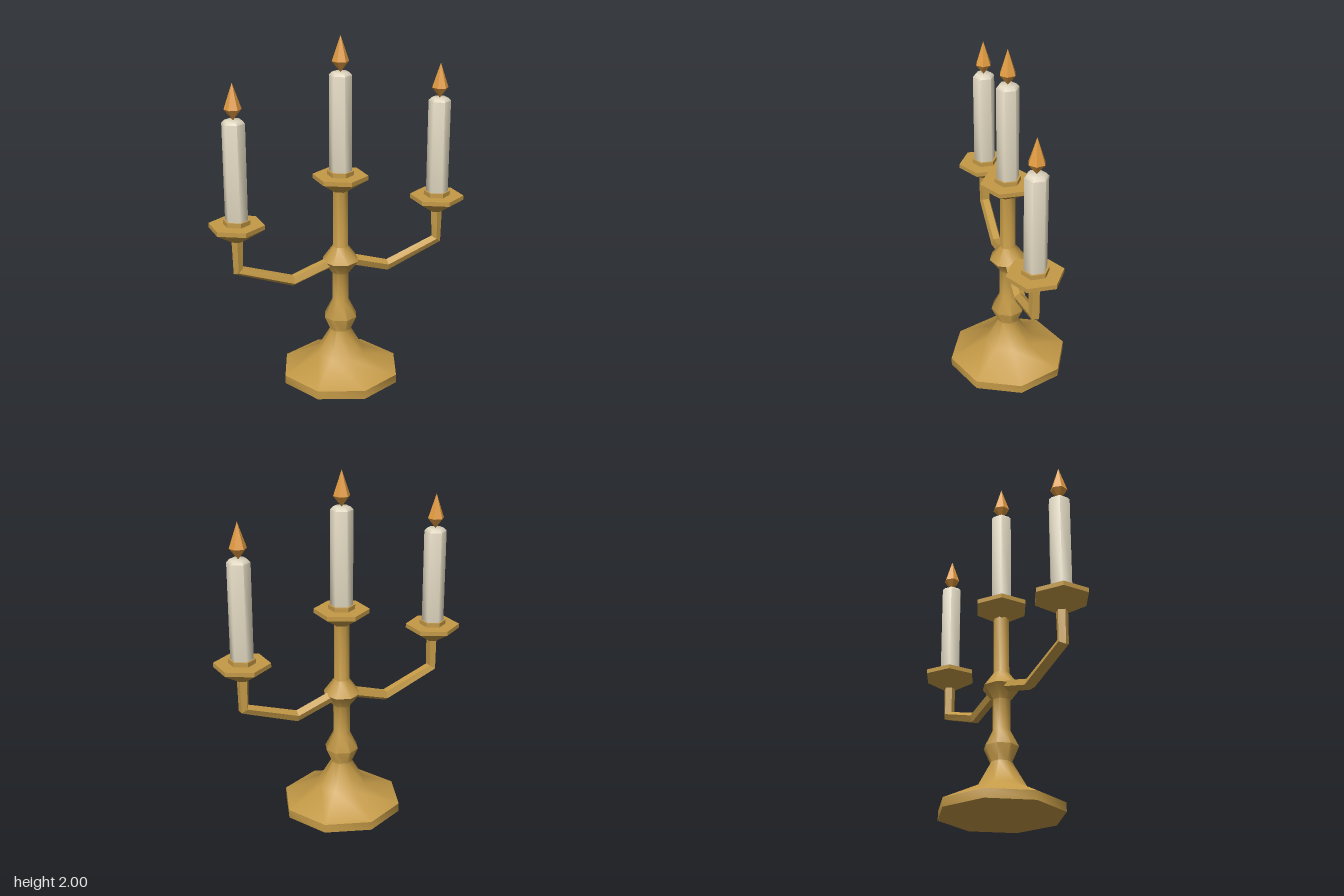
import * as THREE from 'three';
import { toCreasedNormals } from 'three/addons/utils/BufferGeometryUtils.js';

const mat = (name, color, opts = {}) => new THREE.MeshStandardMaterial({ name, color, ...opts });

// Turned part: profile of [radius, height] from bottom to top
function turned(name, profile, sides, material, crease) {
  const lathe = new THREE.LatheGeometry(profile.map(([r, y]) => new THREE.Vector2(r, y)), sides);
  const mesh = new THREE.Mesh(toCreasedNormals(lathe, crease), material);
  mesh.name = name;
  return mesh;
}

// Five-sided bar swept along a bent path in the xy plane
function sweptBar(path, radius, sides = 5) {
  const rings = path.map((p, i) => {
    const before = path[Math.max(i - 1, 0)], after = path[Math.min(i + 1, path.length - 1)];
    const t = new THREE.Vector2();
    if (i > 0) t.add(p.clone().sub(before).normalize());
    if (i < path.length - 1) t.add(after.clone().sub(p).normalize());
    t.normalize();
    return Array.from({ length: sides }, (_, k) => {
      const a = (k / sides) * Math.PI * 2, c = Math.cos(a) * radius;
      return [p.x - t.y * c, p.y + t.x * c, Math.sin(a) * radius];
    });
  });
  const pos = [];
  for (let i = 0; i < rings.length - 1; i++) {
    for (let k = 0; k < sides; k++) {
      const n = (k + 1) % sides;
      const a = rings[i][k], b = rings[i][n], c = rings[i + 1][k], d = rings[i + 1][n];
      pos.push(...a, ...b, ...c, ...b, ...d, ...c);
    }
  }
  const geo = new THREE.BufferGeometry();
  geo.setAttribute('position', new THREE.Float32BufferAttribute(pos, 3));
  geo.computeVertexNormals();
  return geo;
}

export function createModel() {
  const brass = mat('brass', 0xc49a47);
  const wax = mat('wax', 0xdfd6bf);
  const fire = mat('flame', 0xe09a40);
  const model = new THREE.Group();
  model.name = 'candelabra';

  // Base, stem and knobs in one turned piece
  model.add(turned('stem', [
    [0, 0], [0.346, 0], [0.346, 0.05], [0.14, 0.15], [0.06, 0.29], [0.098, 0.375],
    [0.05, 0.47], [0.05, 0.645], [0.106, 0.72], [0.045, 0.805], [0.045, 1.14],
  ], 8, brass, 0.9));

  // Drip dish, candle and flame, with the origin at the underside of the dish
  function candleHolder(name, x, y) {
    const holder = new THREE.Group();
    holder.name = name;
    holder.position.set(x, y, 0);
    holder.add(turned('dripDish', [
      [0, 0], [0.04, 0], [0.155, 0.07], [0.155, 0.095], [0.075, 0.095], [0.075, 0.12], [0, 0.12],
    ], 6, brass, 0.5));
    holder.add(turned('candle', [
      [0.063, 0.1], [0.063, 0.655], [0.047, 0.672], [0, 0.672],
    ], 6, wax, 1.1));
    const flame = turned('flame', [[0, 0.67], [0.047, 0.73], [0, 0.87]], 6, fire, 0.1);
    flame.rotation.y = Math.PI / 12;
    holder.add(flame);
    model.add(holder);
  }
  candleHolder('centreHolder', 0, 1.13);

  // Side arms with their holders
  for (const [side, s] of [['left', 1], ['right', -1]]) {
    const path = [[0.04, 0.72], [0.29, 0.64], [0.607, 0.755], [0.607, 0.94]]
      .map(([x, y]) => new THREE.Vector2(x * s, y));
    const arm = new THREE.Mesh(sweptBar(path, 0.033), brass);
    arm.name = side + 'Arm';
    model.add(arm);
    candleHolder(side + 'Holder', 0.607 * s, 0.93);
  }
  return model;
}
